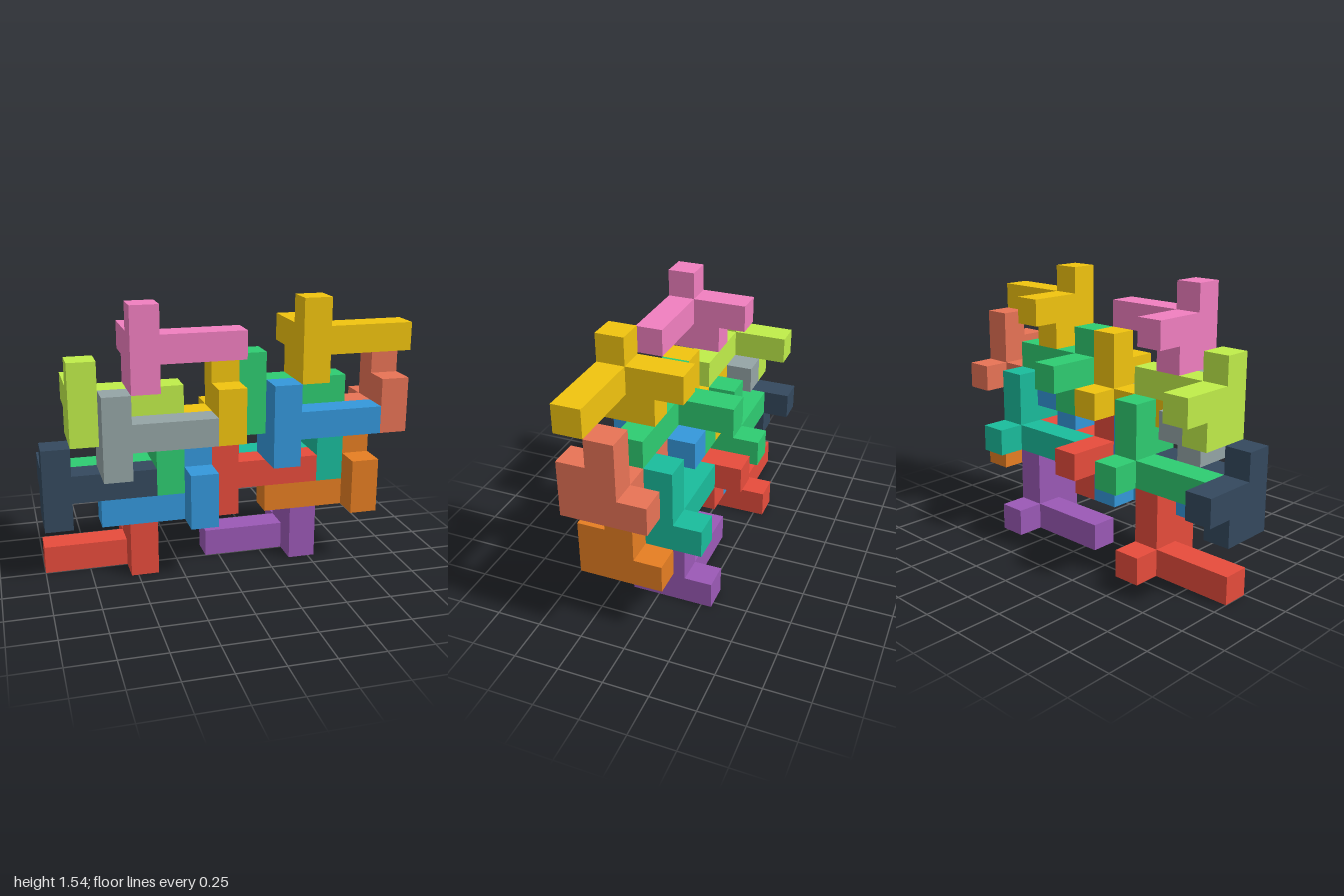
import * as THREE from 'three';

const U = 2 / 13; // edge of one cube cell

// Stepped plate, one cell thick: three cells wide, three high, with one filled corner
function plateGeometry() {
  const shape = new THREE.Shape([
    [-1.5, -0.5], [1.5, -0.5], [1.5, 1.5], [0.5, 1.5], [0.5, 2.5],
    [-0.5, 2.5], [-0.5, 0.5], [-1.5, 0.5],
  ].map(([x, y]) => new THREE.Vector2(x, y)));
  return new THREE.ExtrudeGeometry(shape, { depth: 1, bevelEnabled: false }).translate(0, 0, -0.5);
}

// Two orientations of the same piece: local x, y, z axes in model space
const v = (x, y, z) => new THREE.Vector3(x, y, z);
const upright = new THREE.Matrix4().makeBasis(v(0, 0, 1), v(0, 1, 0), v(-1, 0, 0));
const lying = new THREE.Matrix4().makeBasis(v(0, -1, 0), v(0, 0, -1), v(1, 0, 0));

// Name, cell of the plate's centre, orientation, colour; second name and colour six cells along x
const PAIRS = [
  ['redFoot', [3, 0, 1], upright, 0xe74c3c, 'purpleFoot', 0x9b59b6],
  ['blueLowerPiece', [5, 2, 2], upright, 0x3498db, 'orangePiece', 0xe67e22],
  ['greenBackPiece', [4, 3, 1], upright, 0x2ecc71, 'tealPiece', 0x1abc9c],
  ['yellowMiddlePiece', [6, 5, 2], upright, 0xf1c40f, 'salmonPiece', 0xe87356],
  ['darkPiece', [0, 3, 2], lying, 0x34495e, 'redMiddlePiece', 0xe74c3c],
  ['greyPiece', [2, 5, 3], lying, 0x95a5a6, 'blueUpperPiece', 0x3498db],
  ['limePiece', [1, 6, 2], lying, 0xc0ee4a, 'greenUpperPiece', 0x2ecc71],
  ['pinkTopPiece', [3, 8, 3], lying, 0xf17fc0, 'yellowTopPiece', 0xf1c40f],
];

export function createModel() {
  const model = new THREE.Group();
  model.name = 'interlockingPuzzle';
  const plate = plateGeometry();
  const arm = new THREE.BoxGeometry(1, 1, 3).translate(0, 0, 2);

  function addPiece(name, [i, j, k], basis, color) {
    const material = new THREE.MeshStandardMaterial({ color });
    const piece = new THREE.Group();
    piece.name = name;
    for (const [part, geometry] of [['plate', plate], ['arm', arm]]) {
      const mesh = new THREE.Mesh(geometry, material);
      mesh.name = part;
      piece.add(mesh);
    }
    piece.quaternion.setFromRotationMatrix(basis);
    piece.scale.setScalar(U);
    piece.position.set((i - 6) * U, (j + 0.5) * U, (k - 1.5) * U);
    model.add(piece);
  }

  for (const [nameA, cell, basis, colorA, nameB, colorB] of PAIRS) {
    addPiece(nameA, cell, basis, colorA);
    addPiece(nameB, [cell[0] + 6, cell[1], cell[2]], basis, colorB);
  }
  return model;
}
